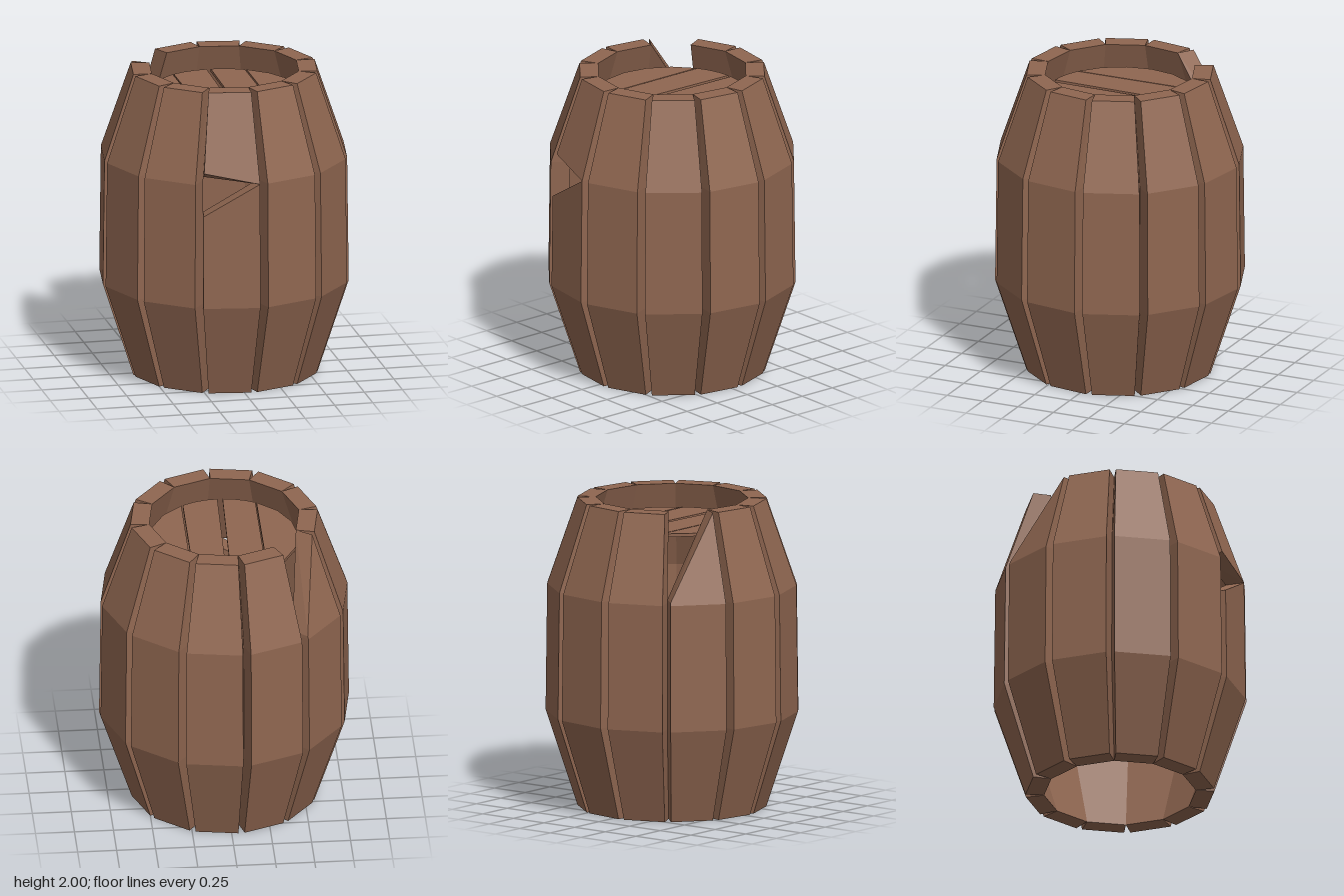
import * as THREE from 'three';

const wood = new THREE.MeshStandardMaterial({ color: 0x8f6650 });
wood.name = 'brown wood';

// Barrel profile: height, outer face distance, outer half width, inner face distance
const PROFILE = [
  [0, 0.589, 0.137, 0.47],
  [0.62, 0.787, 0.183, 0.665],
  [1.44, 0.777, 0.181, 0.655],
  [2, 0.589, 0.137, 0.47],
];

// Point on one of the four long edges of a stave at height y
function edgePoint(side, outer, y) {
  let i = 0;
  while (i < 2 && y > PROFILE[i + 1][0]) i++;
  const a = PROFILE[i], b = PROFILE[i + 1];
  const t = (y - a[0]) / (b[0] - a[0]);
  const at = k => THREE.MathUtils.lerp(a[k], b[k], t);
  const halfWidth = outer ? at(2) : at(3) * Math.tan(Math.PI / 12);
  return [side * halfWidth, y, outer ? at(1) : at(3)];
}

// Each level holds the heights of: outer left, outer right, inner right, inner left
function staveGeometry(levels) {
  const rings = levels.map(([ol, or, ir, il]) => [
    edgePoint(-1, true, ol), edgePoint(1, true, or),
    edgePoint(1, false, ir), edgePoint(-1, false, il),
  ]);
  const pos = [];
  const quad = (a, b, c, d) => pos.push(...a, ...b, ...c, ...a, ...c, ...d);
  for (let i = 0; i < rings.length - 1; i++) {
    const lo = rings[i], hi = rings[i + 1];
    for (let k = 0; k < 4; k++) {
      const n = (k + 1) % 4;
      quad(lo[k], lo[n], hi[n], hi[k]);
    }
  }
  const first = rings[0], last = rings[rings.length - 1];
  quad(last[0], last[1], last[2], last[3]);
  quad(first[3], first[2], first[1], first[0]);
  const geo = new THREE.BufferGeometry();
  geo.setAttribute('position', new THREE.Float32BufferAttribute(pos, 3));
  geo.computeVertexNormals();
  return geo;
}

// Lid plank between two slightly skewed cuts, rounded by the lid radius
function plankGeometry(backL, backR, frontL, frontR) {
  const R = 0.475, steps = 3, points = [];
  const angle = x => Math.acos(THREE.MathUtils.clamp(x / R, -1, 1));
  const arc = (from, to, sign) => {
    for (let i = 0; i <= steps; i++) {
      const a = THREE.MathUtils.lerp(angle(from), angle(to), i / steps);
      if (sign < 0 && Math.sin(a) < 1e-3) continue;
      points.push(new THREE.Vector2(R * Math.cos(a), sign * R * Math.sin(a)));
    }
  };
  arc(backR, backL, 1);
  arc(frontL, frontR, -1);
  const geo = new THREE.ExtrudeGeometry(new THREE.Shape(points), { depth: 0.02, bevelEnabled: false });
  return geo.rotateX(-Math.PI / 2);
}

export function createModel() {
  const barrel = new THREE.Group();
  barrel.name = 'barrel';
  const add = (name, geo) => {
    const mesh = new THREE.Mesh(geo, wood);
    mesh.name = name;
    barrel.add(mesh);
    return mesh;
  };
  const flat = y => [y, y, y, y];

  const whole = staveGeometry([0, 0.62, 1.44, 2].map(flat));
  // Stave whose top is split off diagonally
  const splitTop = staveGeometry([flat(0), flat(0.62), flat(1.44), [1.46, 2, 2, 1.46]]);
  // Front stave with a wedge broken out of its side
  const notchLower = staveGeometry([flat(0), flat(0.62), [1.23, 1.44, 1.44, 1.23]]);
  const notchUpper = staveGeometry([[1.51, 1.44, 1.44, 1.46], flat(2)]);

  for (let i = 0; i < 12; i++) {
    let parts = [['stave', whole]];
    if (i === 0) parts = [['notchedStaveLower', notchLower], ['notchedStaveUpper', notchUpper]];
    if (i === 8) parts = [['splitStave', splitTop]];
    for (const [name, geo] of parts) {
      add(name, geo).rotation.y = THREE.MathUtils.degToRad(i * 30 - 9);
    }
  }

  // Lid boards, recessed below the rim
  const planks = [
    [-0.475, -0.245, -0.475, -0.242],
    [-0.237, -0.007, -0.235, -0.03],
    [0.02, 0.23, 0.004, 0.23],
    [0.24, 0.475, 0.24, 0.475],
  ];
  for (const p of planks) add('lidPlank', plankGeometry(...p)).position.y = 1.83;

  return barrel;
}
